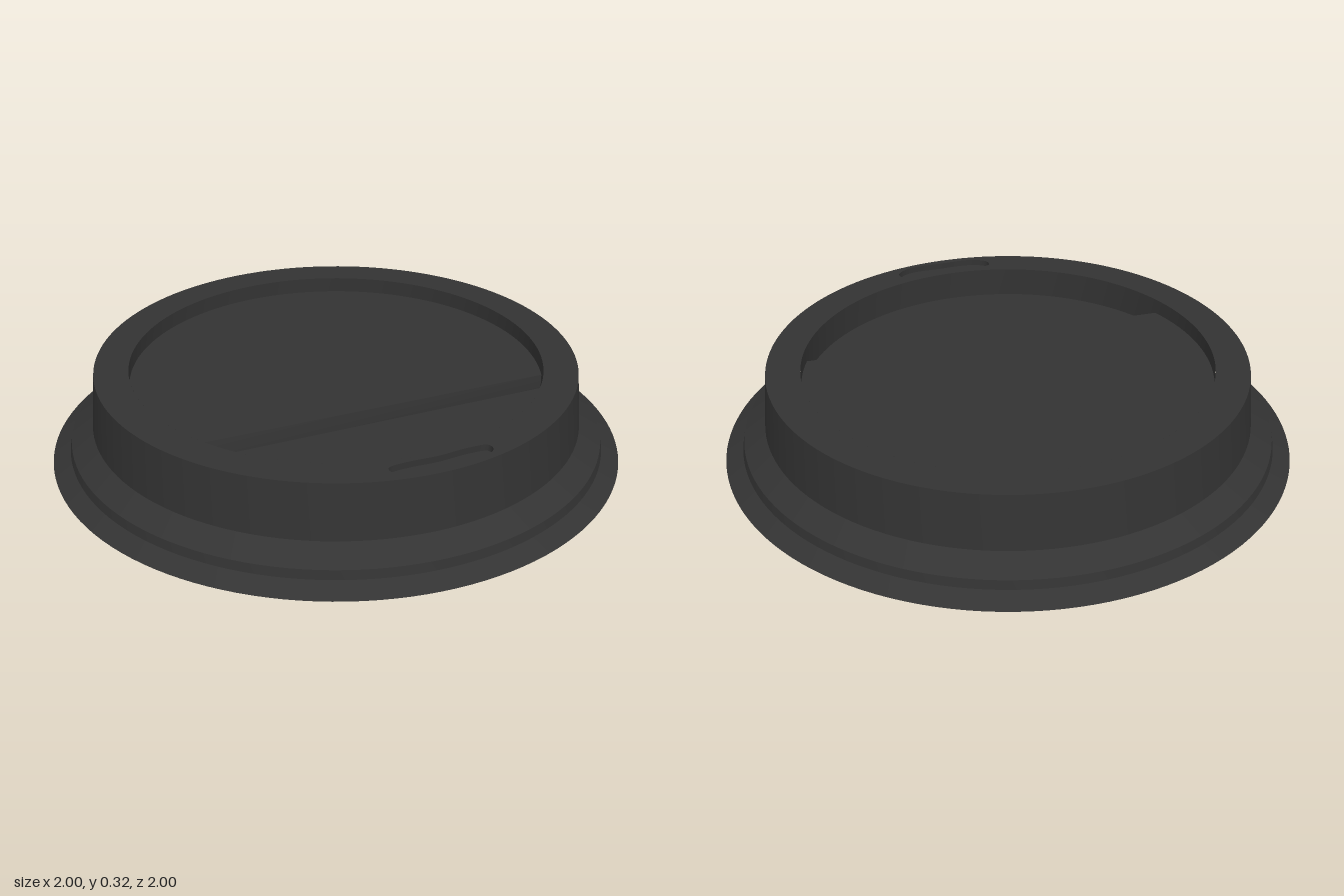
import * as THREE from 'three';
import { toCreasedNormals } from 'three/addons/utils/BufferGeometryUtils.js';

const SEG = 128;
const RIM_Y = 0.32, RIM_R = 0.84, WELL_R = 0.72;
const BACK_Y = 0.265, FRONT_Y = 0.213, SLOT_Y = 0.298;

export function createModel() {
  const group = new THREE.Group();
  group.name = 'cupLid';
  const material = new THREE.MeshStandardMaterial({ color: 0x333333, side: THREE.DoubleSide });

  const add = (name, geometry) => {
    const mesh = new THREE.Mesh(geometry, material);
    mesh.name = name;
    group.add(mesh);
  };

  // Points on a circle in plan; x is x, y holds z
  const arc = (r, a0, a1, n) => Array.from({ length: n + 1 }, (_, i) => {
    const a = a0 + (a1 - a0) * i / n;
    return new THREE.Vector2(r * Math.cos(a), r * Math.sin(a));
  });

  // Flat horizontal sheet at height y, with optional holes
  const sheet = (plan, y, holes = []) => {
    const flip = pts => pts.map(p => new THREE.Vector2(p.x, -p.y));
    const shape = new THREE.Shape(flip(plan));
    holes.forEach(h => shape.holes.push(new THREE.Path(flip(h))));
    return new THREE.ShapeGeometry(shape).rotateX(-Math.PI / 2).translate(0, y, 0);
  };

  // Upright strip joining an upper and a lower plan line
  const strip = (top, yTop, bottom, yBottom) => {
    const pos = [], index = [];
    top.forEach((p, i) => {
      pos.push(p.x, yTop, p.y, bottom[i].x, yBottom, bottom[i].y);
      if (i) {
        const k = 2 * i;
        index.push(k - 2, k, k - 1, k, k + 1, k - 1);
      }
    });
    const g = new THREE.BufferGeometry();
    g.setAttribute('position', new THREE.Float32BufferAttribute(pos, 3));
    g.setIndex(index);
    g.computeVertexNormals();
    return g;
  };

  // Flared skirt, snap bead, shoulder and tapered side wall
  const profile = [[1, 0], [0.938, 0.036], [0.932, 0.068], [0.855, 0.122], [RIM_R, RIM_Y]]
    .map(([r, y]) => new THREE.Vector2(r, y));
  add('outerShell', toCreasedNormals(new THREE.LatheGeometry(profile, SEG), 0.3));

  // Sipping slot outline, following the rim
  const slot = new THREE.CatmullRomCurve3([
    [-0.165, 0.747], [-0.1, 0.738], [0.01, 0.744], [0.12, 0.738], [0.185, 0.747],
    [0.188, 0.775], [0.14, 0.81], [0.01, 0.815], [-0.11, 0.81], [-0.165, 0.78],
  ].map(([x, z]) => new THREE.Vector3(x, z, 0)), true)
    .getPoints(60).map(p => new THREE.Vector2(p.x, p.y));
  const slotLoop = slot.slice(0, -1);

  // Flat top rim pierced by the well and the slot
  const well = arc(WELL_R, 0, Math.PI * 2, SEG);
  add('topRim', sheet(arc(RIM_R, 0, Math.PI * 2, SEG).slice(0, -1), RIM_Y, [well.slice(0, -1), slotLoop]));
  add('slotWall', strip(slot, RIM_Y, slot, SLOT_Y));
  add('slotFloor', sheet(slotLoop, SLOT_Y));

  // Well with two floor levels split by a slightly skewed step
  const right = Math.atan2(0.305, 0.652), left = Math.atan2(0.265, -0.669);
  const leftLow = Math.atan2(0.279, -0.664);
  const backArc = arc(WELL_R, left, right + Math.PI * 2, 80);
  const frontArc = arc(WELL_R, right, left, 48);
  const lowArc = arc(WELL_R, right, leftLow, 48);
  add('backWellWall', strip(backArc, RIM_Y, backArc, BACK_Y));
  add('frontWellWall', strip(frontArc, RIM_Y, lowArc, FRONT_Y));
  add('raisedFloor', sheet(backArc, BACK_Y));
  add('loweredFloor', sheet(lowArc, FRONT_Y));
  add('floorStep', strip([frontArc[48], frontArc[0]], BACK_Y, [lowArc[48], lowArc[0]], FRONT_Y));

  return group;
}
